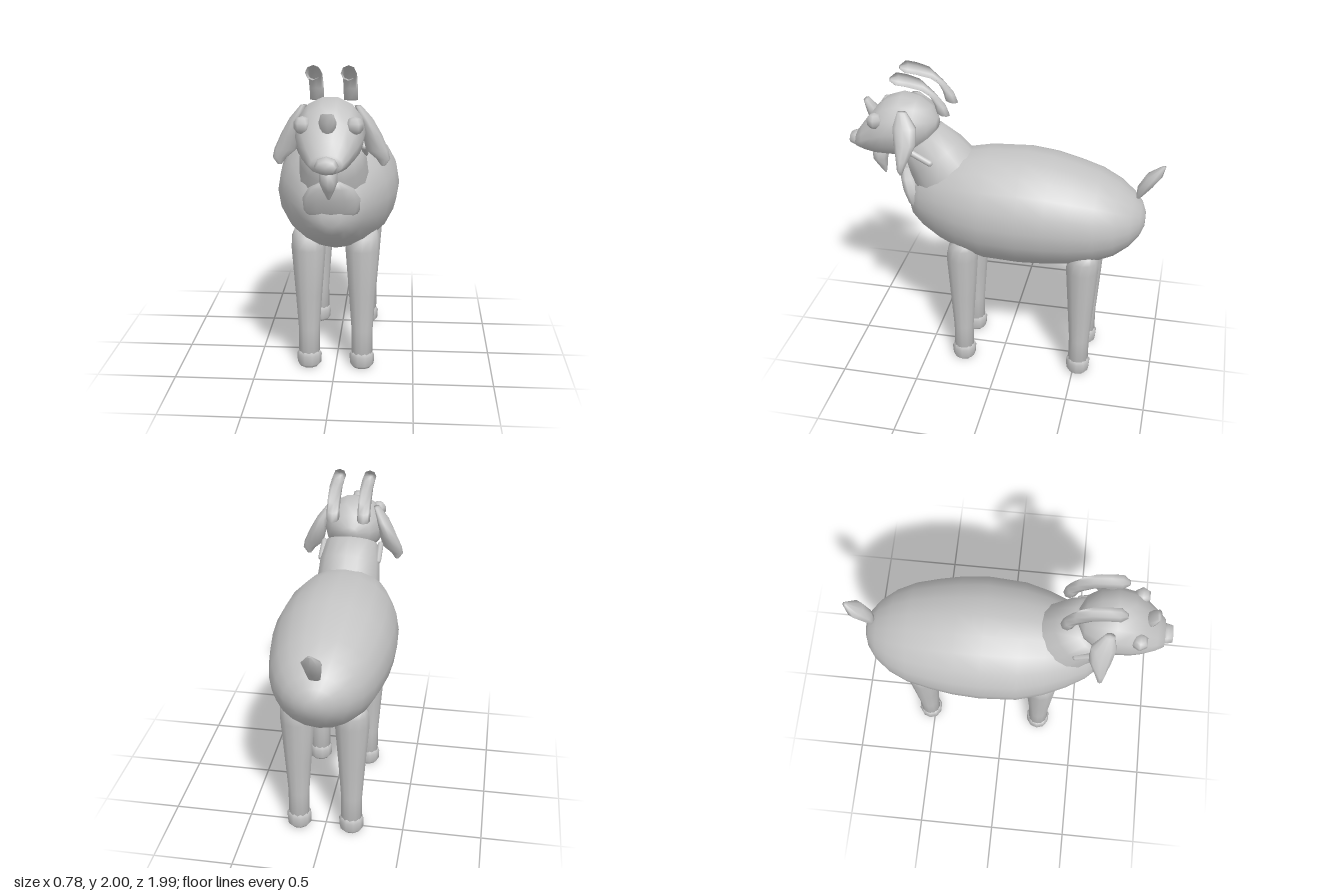
import * as THREE from 'three';

const hide = new THREE.MeshStandardMaterial({ color: 0xc4c4c4 });
hide.name = 'light grey';

// Skin over elliptical rings [x, y, z, half width, half depth, tilt];
// tilt 0 stands the ring upright facing z, PI/2 lays it flat facing y.
function loft(rings, sides = 14) {
  const pos = [], idx = [];
  const dir = t => new THREE.Vector3(0, Math.cos(t), Math.sin(t));
  for (const [x, y, z, a, b, t = 0] of rings) {
    const d = dir(t);
    for (let j = 0; j < sides; j++) {
      const q = (j / sides) * Math.PI * 2;
      pos.push(x + a * Math.cos(q), y + b * Math.sin(q) * d.y, z + b * Math.sin(q) * d.z);
    }
  }
  const first = rings[0], last = rings[rings.length - 1];
  const travel = new THREE.Vector3(last[0] - first[0], last[1] - first[1], last[2] - first[2]);
  const flip = travel.dot(new THREE.Vector3(1, 0, 0).cross(dir(first[5] || 0))) < 0;
  const tri = (a, b, c) => (flip ? idx.push(a, c, b) : idx.push(a, b, c));
  for (let i = 0; i < rings.length - 1; i++) {
    for (let j = 0; j < sides; j++) {
      const k = (j + 1) % sides, p = i * sides, n = p + sides;
      tri(p + j, p + k, n + j);
      tri(p + k, n + k, n + j);
    }
  }
  // End caps
  const c0 = pos.length / 3, base = (rings.length - 1) * sides;
  pos.push(...first.slice(0, 3), ...last.slice(0, 3));
  for (let j = 0; j < sides; j++) {
    const k = (j + 1) % sides;
    tri(c0, k, j);
    tri(c0 + 1, base + j, base + k);
  }
  const g = new THREE.BufferGeometry();
  g.setAttribute('position', new THREE.Float32BufferAttribute(pos, 3));
  g.setIndex(idx);
  g.computeVertexNormals();
  return g;
}

// Rings along z from [z, top, bottom, half width]
const alongZ = rows => rows.map(([z, top, bot, w]) => [0, (top + bot) / 2, z, w, (top - bot) / 2]);

export function createModel() {
  const model = new THREE.Group();
  model.name = 'goat';
  const add = (name, geometry, parent = model) => {
    const m = new THREE.Mesh(geometry, hide);
    m.name = name;
    parent.add(m);
    return m;
  };
  const flat = Math.PI / 2;

  // Barrel body
  add('body', loft(alongZ([
    [0.62, 1.17, 1.05, 0.06], [0.59, 1.27, 0.99, 0.13], [0.52, 1.36, 0.93, 0.2],
    [0.4, 1.43, 0.86, 0.27], [0.26, 1.47, 0.805, 0.33], [0.1, 1.5, 0.77, 0.375],
    [-0.13, 1.51, 0.765, 0.39], [-0.3, 1.49, 0.775, 0.38], [-0.45, 1.455, 0.79, 0.355],
    [-0.6, 1.41, 0.82, 0.32], [-0.72, 1.35, 0.87, 0.265], [-0.81, 1.28, 0.94, 0.195],
    [-0.865, 1.22, 1.01, 0.12], [-0.89, 1.16, 1.07, 0.05],
  ]), 20));

  // Neck, leaning forward
  add('neck', loft([
    [0, 1.2, 0.3, 0.22, 0.25, 2.2], [0, 1.31, 0.38, 0.21, 0.235, 2.2],
    [0, 1.43, 0.45, 0.2, 0.2, 2.2], [0, 1.54, 0.53, 0.17, 0.15, 2.2],
  ], 16));

  // Head with tapering muzzle, and nose
  add('head', loft(alongZ([
    [0.43, 1.68, 1.61, 0.05], [0.47, 1.75, 1.53, 0.13], [0.55, 1.805, 1.46, 0.18],
    [0.65, 1.83, 1.42, 0.2], [0.75, 1.795, 1.42, 0.19], [0.82, 1.73, 1.42, 0.165],
    [0.9, 1.63, 1.435, 0.125], [0.95, 1.56, 1.45, 0.09],
  ]), 14));
  add('nose', loft([
    [0, 1.5, 0.92, 0.07, 0.06], [0, 1.5, 0.965, 0.065, 0.05], [0, 1.5, 1.0, 0.055, 0.035],
  ], 8));

  // Forehead tuft
  add('tuft', loft([
    [0, 1.66, 0.84, 0.04, 0.035, flat], [0, 1.72, 0.855, 0.05, 0.035, flat],
    [0, 1.77, 0.885, 0.035, 0.015, flat],
  ], 8));

  // Beard
  add('beard', loft([
    [0, 1.45, 0.81, 0.055, 0.06, flat], [0, 1.37, 0.82, 0.05, 0.05, flat],
    [0, 1.32, 0.805, 0.032, 0.03, flat], [0, 1.265, 0.79, 0.006, 0.006, flat],
  ], 8));

  // Bell with its hanging loop
  add('bell', loft([
    [0, 1.09, 0.565, 0.13, 0.03, flat], [0, 1.14, 0.57, 0.165, 0.06, flat],
    [0, 1.22, 0.59, 0.17, 0.075, flat], [0, 1.29, 0.62, 0.13, 0.06, flat],
    [0, 1.33, 0.645, 0.06, 0.03, flat],
  ], 12));
  add('bellLoop', loft([
    [0, 1.29, 0.63, 0.04, 0.035, flat], [0, 1.34, 0.66, 0.045, 0.04, flat],
    [0, 1.375, 0.665, 0.025, 0.025, flat],
  ], 8));

  // Upturned tail
  add('tail', loft([
    [0, 1.27, -0.84, 0.035, 0.015, flat], [0, 1.34, -0.875, 0.048, 0.045, flat],
    [0, 1.42, -0.925, 0.06, 0.05, flat], [0, 1.49, -0.98, 0.012, 0.012, flat],
  ], 8));

  for (const [side, s] of [['left', 1], ['right', -1]]) {
    // Swept-back horns, tapered at the tip
    const path = [[0.1, 1.76, 0.365, 0.25], [0.1, 1.82, 0.385, 0.45], [0.1, 1.88, 0.43, 0.8],
      [0.1, 1.935, 0.5, 1.15], [0.1, 1.955, 0.59, 1.45], [0.1, 1.96, 0.65, 1.6], [0.1, 1.955, 0.69, 1.6]];
    const horn = path.map(([x, y, z, t], i) =>
      [s * x, y, z, i === 6 ? 0.015 : 0.042, i === 6 ? 0.012 : 0.042, flat - t]);
    add(side + 'Horn', loft(horn, 8));

    // Drooping ears
    add(side + 'Ear', loft([
      [s * 0.155, 1.77, 0.61, 0.02, 0.03, flat], [s * 0.2, 1.69, 0.585, 0.04, 0.075, flat],
      [s * 0.235, 1.6, 0.575, 0.055, 0.07, flat], [s * 0.265, 1.51, 0.585, 0.065, 0.04, flat],
      [s * 0.3, 1.46, 0.59, 0.04, 0.022, flat], [s * 0.3, 1.42, 0.59, 0.012, 0.008, flat],
    ], 10));

    // Eyes
    const eye = add(side + 'Eye', new THREE.SphereGeometry(0.052, 6, 5));
    eye.position.set(s * 0.145, 1.69, 0.79);

    // Collar strap showing at the side of the neck
    const strap = add(side + 'Collar', new THREE.CapsuleGeometry(0.02, 0.14, 3, 8));
    strap.position.set(s * 0.19, 1.49, 0.5);
    strap.rotation.x = 1.08;

    // Legs and hooves
    for (const [end, z] of [['Front', 0.25], ['Hind', -0.53]]) {
      const x = s * 0.17;
      add(side + end + 'Leg', loft([
        [x, 0.08, z, 0.068, 0.066, flat], [x, 0.26, z, 0.068, 0.066, flat],
        [x, 0.5, z, 0.085, 0.083, flat], [x, 0.8, z, 0.108, 0.103, flat],
        [x * 1.04, 0.88, z - 0.01, 0.098, 0.095, flat], [x * 1.15, 0.925, z - 0.02, 0.06, 0.06, flat],
      ], 12));
      add(side + end + 'Hoof', loft([
        [x, 0, z, 0.06, 0.06, flat], [x, 0.02, z, 0.077, 0.075, flat],
        [x, 0.08, z, 0.08, 0.08, flat], [x, 0.105, z, 0.066, 0.064, flat],
      ], 10));
    }
  }
  return model;
}
